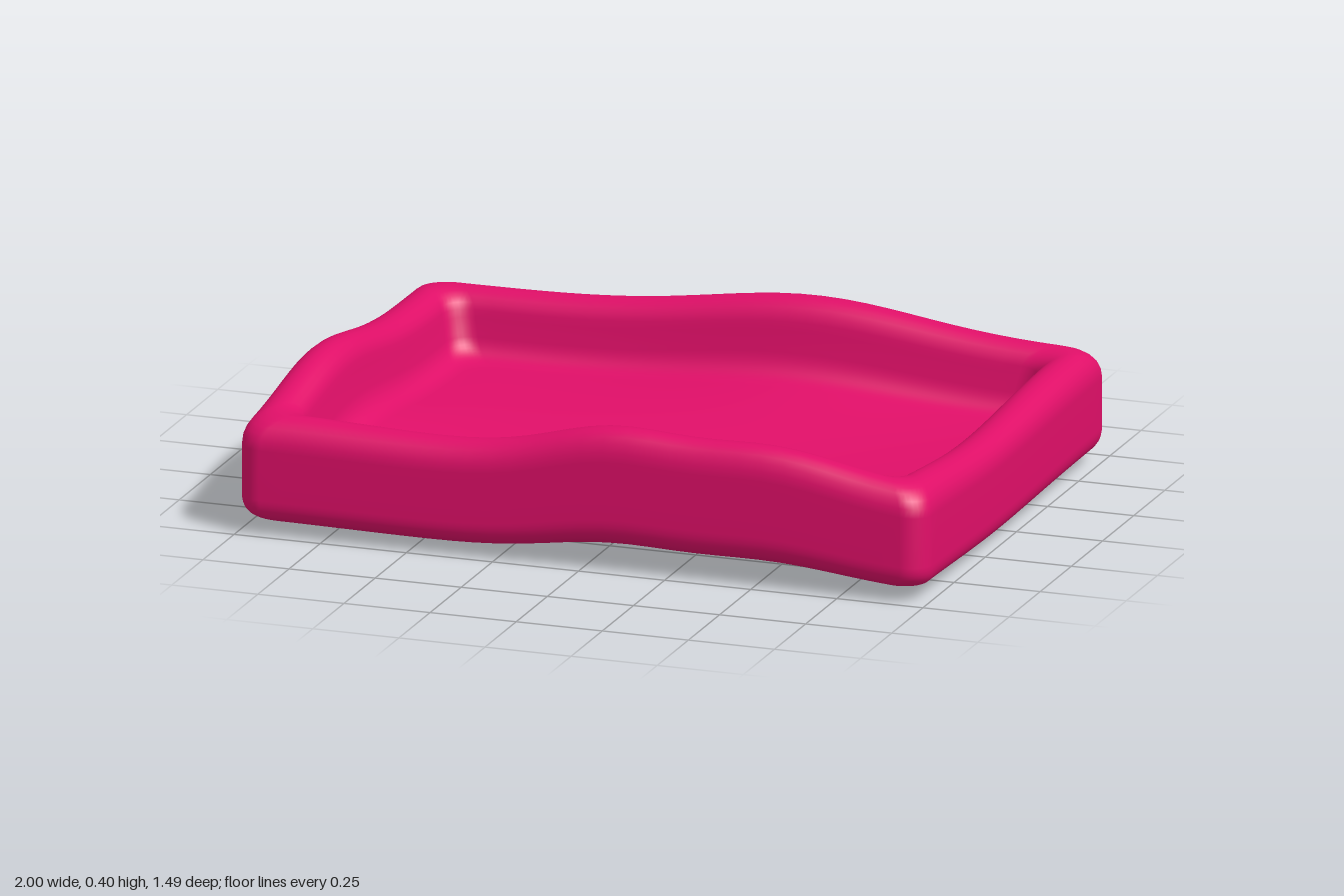
import * as THREE from 'three';

const HALF_X = 1, HALF_Z = 0.745;
const bell = (v, c, s) => Math.exp(-((v - c) ** 2) / (2 * s * s));

// Wavy height field: humps along front, back and left walls, a hollow in the middle
function wave(x, z) {
  const front = 0.083 * (bell(x, 0.07, 0.18) + bell(x, 0.52, 0.22)) * bell(z, 0.72, 0.25);
  const back = 0.075 * bell(x, 0.17, 0.3) * bell(z, -0.72, 0.25);
  const left = 0.075 * bell(z, 0.2, 0.25) * bell(x, -0.95, 0.25);
  const hollow = 0.06 * bell(x, 0.35, 0.42) * bell(z, 0.12, 0.3);
  return front + back + left - hollow;
}

// Rounded rectangle outline, evenly subdivided along its sides
function outline(hx, hz, r) {
  const corners = [[1, 1], [-1, 1], [-1, -1], [1, -1]];
  const arc = 8, side = 28, pts = [];
  const onArc = (c, t) => {
    const a = (c + t) * Math.PI / 2;
    const [sx, sz] = corners[c % 4];
    return new THREE.Vector2(sx * (hx - r) + r * Math.cos(a), sz * (hz - r) + r * Math.sin(a));
  };
  for (let c = 0; c < 4; c++) {
    for (let k = 0; k < arc; k++) pts.push(onArc(c, k / arc));
    const from = onArc(c, 1), to = onArc(c + 1, 0);
    for (let k = 0; k < side; k++) pts.push(from.clone().lerp(to, k / side));
  }
  return pts;
}

function trayGeometry() {
  // Wall section as (inset from outer edge, height)
  const section = new THREE.Path();
  section.moveTo(0.07, 0.03);
  section.quadraticCurveTo(0, 0.03, 0, 0.1);
  section.lineTo(0, 0.24);
  section.bezierCurveTo(0, 0.345, 0.14, 0.345, 0.14, 0.25);
  section.lineTo(0.15, 0.21);
  section.quadraticCurveTo(0.16, 0.14, 0.23, 0.14);
  const wall = section.getPoints(12);

  // Rings from the underside centre, up over the wall, to the floor centre
  const rings = [], steps = 20;
  const first = wall[0], last = wall[wall.length - 1];
  for (let k = 0; k < steps; k++) rings.push([first.x, first.y, k / steps]);
  for (const p of wall) rings.push([p.x, p.y, 1]);
  for (let k = steps - 1; k >= 0; k--) rings.push([last.x, last.y, k / steps]);

  const pos = [], index = [];
  let n = 0;
  rings.forEach(([inset, y, f], j) => {
    const ring = outline(HALF_X - inset, HALF_Z - inset, 0.07);
    n = ring.length;
    const weight = 0.45 + 0.55 * Math.min(1, y / 0.3);
    ring.forEach((p, i) => {
      const x = p.x * f, z = p.y * f;
      pos.push(x, y + weight * wave(x, z), z);
      if (j === rings.length - 1) return;
      const a = j * n + i, b = j * n + (i + 1) % n;
      if (f > 0 || j > 0) index.push(a, a + n, b);
      index.push(b, a + n, b + n);
    });
  });
  const geo = new THREE.BufferGeometry();
  geo.setAttribute('position', new THREE.Float32BufferAttribute(pos, 3));
  geo.setIndex(index);
  geo.computeVertexNormals();

  // The two centre rings collapse to points, so give them one plain normal each
  const normal = geo.attributes.normal;
  for (let i = 0; i < n; i++) {
    normal.setXYZ(i, 0, -1, 0);
    normal.setXYZ(normal.count - 1 - i, 0, 1, 0);
  }
  geo.computeBoundingBox();
  geo.translate(0, -geo.boundingBox.min.y, 0);
  return geo;
}

export function createModel() {
  const group = new THREE.Group();
  group.name = 'wavyTray';
  const material = new THREE.MeshStandardMaterial({ color: 0xe00f68 });
  const tray = new THREE.Mesh(trayGeometry(), material);
  tray.name = 'tray';
  group.add(tray);
  return group;
}
